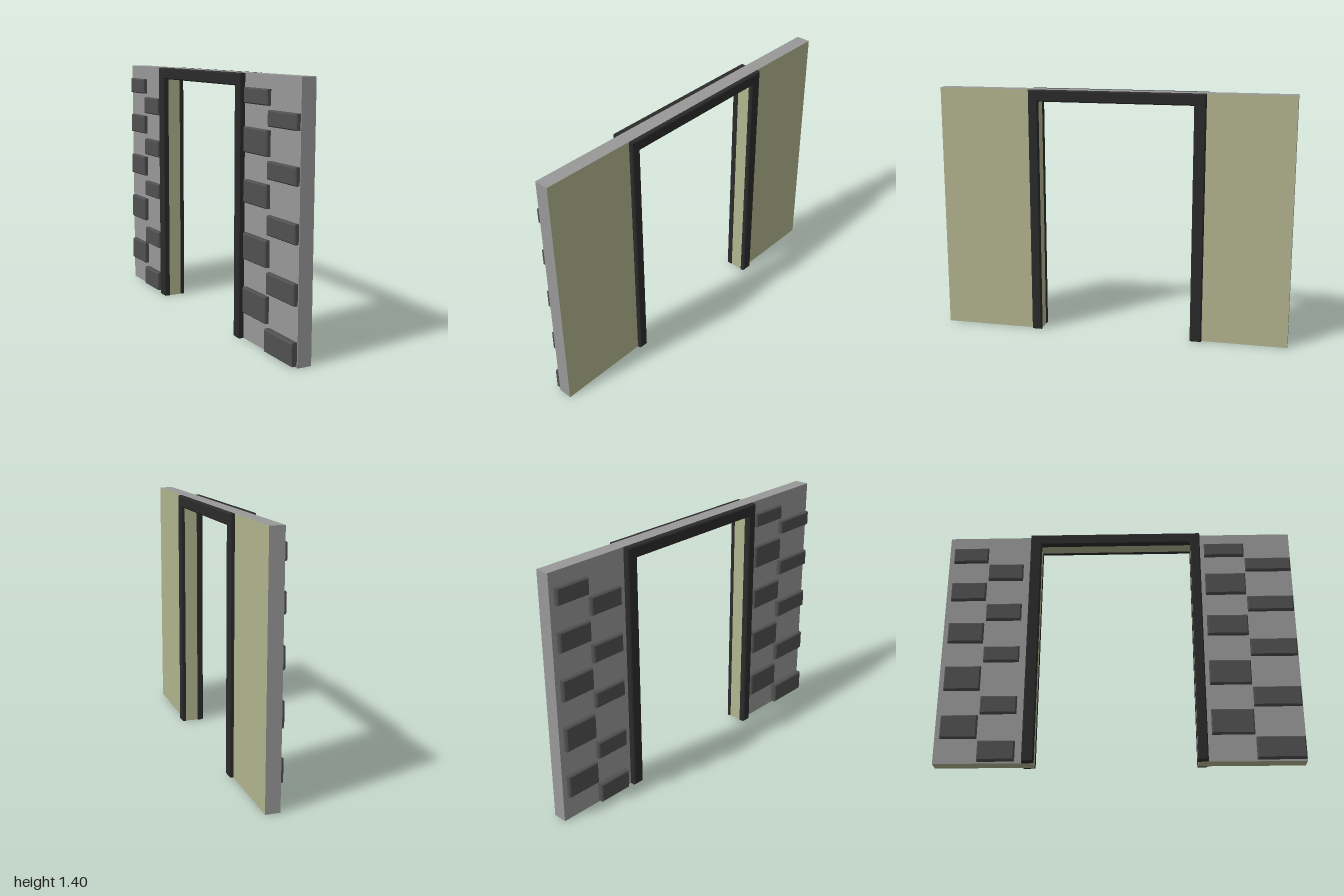
import * as THREE from 'three';

const paint = (color) => new THREE.MeshStandardMaterial({ color, flatShading: true });
const BACK = -0.035, FRONT = 0.045; // wall faces along x
const BEVEL = 0.006;

export function createModel() {
  const model = new THREE.Group();
  const green = paint(0xb3b68f), grey = paint(0x999999);
  const stone = paint(0x505050), black = paint(0x2b2b2b);

  // wall piece: each face gets the plaster or the stone colour
  function wallPiece(name, z0, z1, y0, y1, posZ, negZ) {
    const geo = new THREE.BoxGeometry(FRONT - BACK, y1 - y0, z1 - z0);
    const mesh = new THREE.Mesh(geo, [green, grey, grey, green, posZ, negZ]);
    mesh.position.set((FRONT + BACK) / 2, (y0 + y1) / 2, (z0 + z1) / 2);
    mesh.name = name;
    model.add(mesh);
  }

  // bevelled slab from a (z, y) outline, filling x0..x1
  function slab(name, outline, x0, x1, material, parent) {
    const shape = new THREE.Shape(outline.map(([z, y]) => new THREE.Vector2(-z, y)));
    const geo = new THREE.ExtrudeGeometry(shape, {
      depth: x1 - x0 - 2 * BEVEL, bevelThickness: BEVEL, bevelSize: BEVEL,
      bevelOffset: -BEVEL, bevelSegments: 1,
    });
    geo.rotateY(Math.PI / 2).translate(x0 + BEVEL, 0, 0);
    const mesh = new THREE.Mesh(geo, material);
    mesh.name = name;
    parent.add(mesh);
  }

  // wall around the doorway
  wallPiece('leftPier', 0.423, 1, 0, 1.4, grey, green);
  wallPiece('rightPier', -1, -0.458, 0, 1.4, green, grey);
  wallPiece('lintel', -0.458, 0.423, 1.338, 1.4, grey, grey);

  // door trim on both sides of the wall
  const trim = [
    [0.475, 0], [0.475, 1.4], [-0.52, 1.4], [-0.52, 0],
    [-0.455, 0], [-0.455, 1.335], [0.42, 1.335], [0.42, 0],
  ];
  slab('frontTrim', trim, FRONT - BEVEL, 0.068, black, model);
  slab('backTrim', trim, -0.068, BACK + BEVEL, black, model);

  // staggered stone blocks on the back: z range, then y range of each block
  const columns = [
    { z: [0.5, 0.73], deep: false,
      rows: [[0.15, 0.29], [0.44, 0.58], [0.74, 0.86], [1.0, 1.13], [1.25, 1.33]] },
    { z: [0.735, 0.995], deep: true,
      rows: [[0.01, 0.13], [0.31, 0.42], [0.61, 0.71], [0.89, 0.98], [1.15, 1.23]] },
    { z: [-0.97, -0.77], deep: false,
      rows: [[0.14, 0.27], [0.42, 0.56], [0.71, 0.83], [0.98, 1.09], [1.23, 1.32]] },
    { z: [-0.76, -0.56], deep: true,
      rows: [[0.01, 0.12], [0.28, 0.38], [0.59, 0.68], [0.85, 0.95], [1.11, 1.21]] },
  ];
  const blocks = new THREE.Group();
  blocks.name = 'stoneBlocks';
  for (const { z: [z0, z1], deep, rows } of columns) {
    rows.forEach(([y0, y1], i) => {
      const x0 = deep && i === 0 ? -0.068 : -0.06;
      slab('stoneBlock', [[z1, y0], [z1, y1], [z0, y1], [z0, y0]], x0, BACK + BEVEL, stone, blocks);
    });
  }
  model.add(blocks);
  return model;
}
